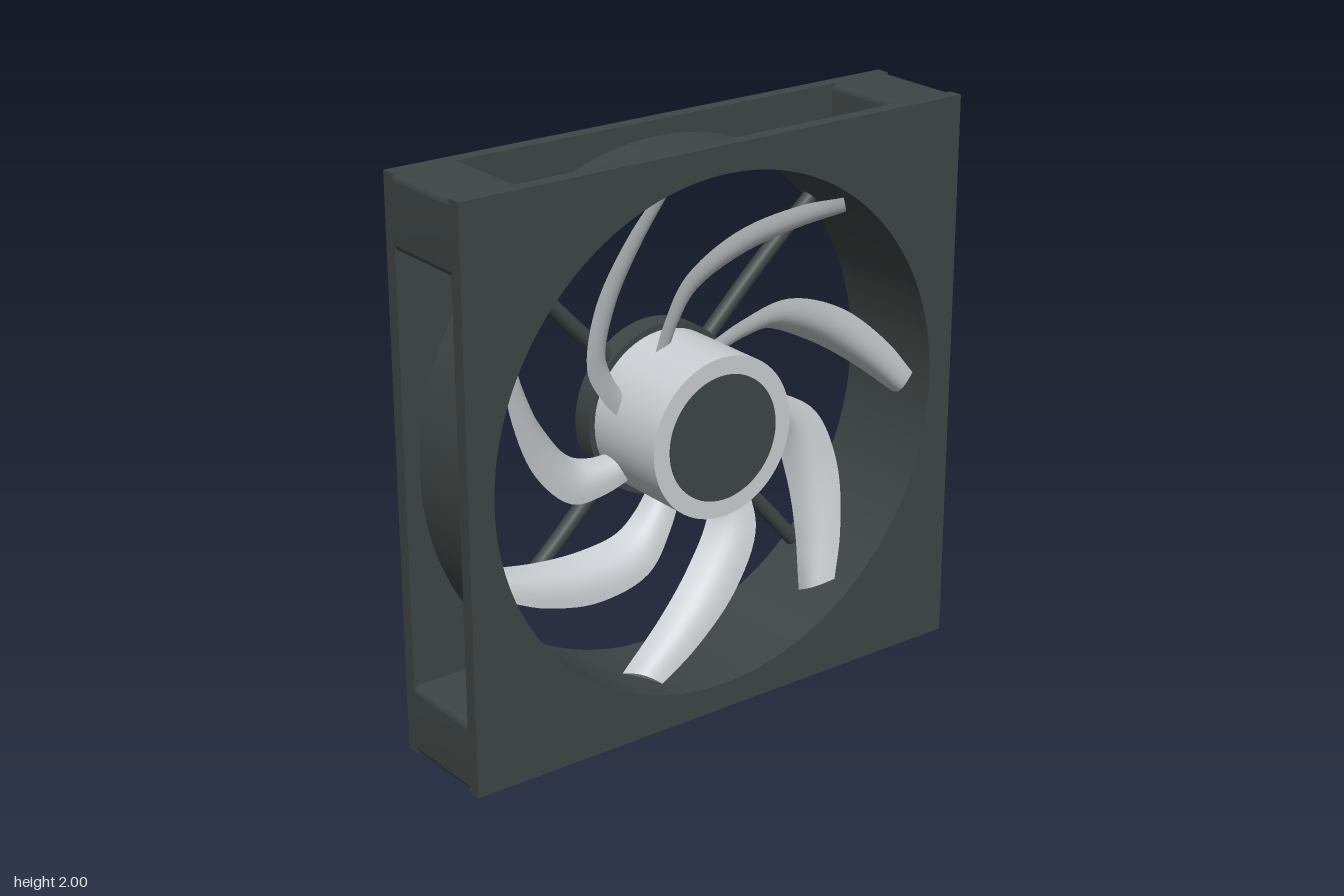
import * as THREE from 'three';
import { toCreasedNormals } from 'three/addons/utils/BufferGeometryUtils.js';

const charcoal = new THREE.MeshStandardMaterial({ color: 0x3f4645 });
charcoal.name = 'charcoal plastic';
const paleGrey = new THREE.MeshStandardMaterial({ color: 0xcdd0d4 });
paleGrey.name = 'pale grey plastic';

const HALF = 0.21, PLATE = 0.05, BORE = 0.905, INNER = HALF - PLATE;

function part(parent, name, geometry, material) {
  const mesh = new THREE.Mesh(geometry, material);
  mesh.name = name;
  parent.add(mesh);
  return mesh;
}

// Extrude a flat shape along z, starting at z0
function slab(shape, z0, depth, curveSegments = 96) {
  const g = new THREE.ExtrudeGeometry(shape, { depth, bevelEnabled: false, curveSegments });
  g.translate(0, 0, z0);
  return toCreasedNormals(g, 0.6);
}

// Disc-like cylinder with its axis along z
function drum(radius, z0, z1) {
  const g = new THREE.CylinderGeometry(radius, radius, z1 - z0, 72);
  g.rotateX(Math.PI / 2);
  g.translate(0, 0, (z0 + z1) / 2);
  return g;
}

function boreHole() {
  return new THREE.Path().absarc(0, 0, BORE, 0, Math.PI * 2, true);
}

function squarePlate() {
  const s = new THREE.Shape([[-1, -1], [1, -1], [1, 1], [-1, 1]].map(p => new THREE.Vector2(...p)));
  s.holes.push(boreHole());
  return s;
}

// Square corner post with rounded edges
function cornerPost(a, b, r) {
  const s = new THREE.Shape();
  s.absarc(b - r, a + r, r, -Math.PI / 2, 0);
  s.absarc(b - r, b - r, r, 0, Math.PI / 2);
  s.absarc(a + r, b - r, r, Math.PI / 2, Math.PI);
  s.absarc(a + r, a + r, r, Math.PI, Math.PI * 1.5);
  s.closePath();
  return s;
}

// Blade edges as [radius, angle in degrees, z], from root to tip
const outerEdge = [[0.25, 66, -0.03], [0.38, 53.5, 0.01], [0.527, 43, 0.05], [0.666, 26, 0.08], [0.8, 9.8, 0.11], [0.898, 0, 0.13]];
const innerEdge = [[0.25, 47, -0.1], [0.36, 38, -0.08], [0.446, 30.3, -0.06], [0.567, 15.9, -0.03], [0.71, 4, 0], [0.898, -6.3, 0.03]];

function edgeCurve(points) {
  return new THREE.CatmullRomCurve3(points.map(([r, deg, z]) => {
    const a = THREE.MathUtils.degToRad(deg);
    return new THREE.Vector3(r * Math.cos(a), r * Math.sin(a), z);
  }));
}

// Loft cambered sections between the two edges
function bladeGeometry() {
  const outer = edgeCurve(outerEdge), inner = edgeCurve(innerEdge);
  const rows = 32, across = 10, loop = across * 2;
  const positions = [], index = [];
  for (let i = 0; i <= rows; i++) {
    const t = i / rows;
    const a = outer.getPoint(t), b = inner.getPoint(t);
    const chord = b.clone().sub(a);
    const along = outer.getTangent(t).add(inner.getTangent(t));
    const normal = chord.clone().cross(along).normalize();
    for (let j = 0; j < loop; j++) {
      const front = j <= across;
      const u = front ? j / across : 2 - j / across;
      const bulge = Math.sin(u * Math.PI) * (front ? 0.036 : 0.01);
      const p = a.clone().addScaledVector(chord, u).addScaledVector(normal, bulge);
      // Keep the tip inside the bore
      const k = Math.min(1, 0.898 / Math.hypot(p.x, p.y));
      positions.push(p.x * k, p.y * k, p.z);
    }
  }
  for (let i = 0; i < rows; i++) {
    for (let j = 0; j < loop; j++) {
      const k = (j + 1) % loop;
      const p = i * loop + j, q = i * loop + k;
      index.push(p, q, p + loop, q, q + loop, p + loop);
    }
  }
  // Tip cap
  const tip = rows * loop;
  for (let j = 0; j < across; j++) {
    const p = tip + j, q = tip + j + 1;
    const r = tip + (loop - j) % loop, s = tip + loop - j - 1;
    if (j > 0) index.push(p, q, r);
    if (j < across - 1) index.push(q, s, r);
  }
  const g = new THREE.BufferGeometry();
  g.setAttribute('position', new THREE.Float32BufferAttribute(positions, 3));
  g.setIndex(index);
  return toCreasedNormals(g, 0.9);
}

export function createModel() {
  const model = new THREE.Group();
  model.name = 'coolingFan';
  model.position.y = 1;

  // Frame: two plates, a duct between them and four corner posts
  const frame = new THREE.Group();
  frame.name = 'frame';
  part(frame, 'frontPlate', slab(squarePlate(), INNER, PLATE), charcoal);
  part(frame, 'backPlate', slab(squarePlate(), -HALF, PLATE), charcoal);
  const duct = new THREE.Shape().absarc(0, 0, 0.945, 0, Math.PI * 2);
  duct.holes.push(boreHole());
  part(frame, 'duct', slab(duct, -INNER, INNER * 2), charcoal);
  const post = slab(cornerPost(0.75, 1, 0.025), -INNER, INNER * 2, 6);
  for (let i = 0; i < 4; i++) {
    part(frame, 'cornerPost', post, charcoal).rotation.z = i * Math.PI / 2;
  }
  model.add(frame);

  // Motor mount and its four struts at the back
  const mount = new THREE.Group();
  mount.name = 'motorMount';
  part(mount, 'motorBase', drum(0.305, -HALF, -0.13), charcoal);
  const strutPath = new THREE.CatmullRomCurve3([
    new THREE.Vector3(0.25, 0, -0.17),
    new THREE.Vector3(0.6, 0.008, -0.17),
    new THREE.Vector3(0.92, 0, -0.17),
  ]);
  const strut = new THREE.TubeGeometry(strutPath, 12, 0.028, 16);
  for (let i = 0; i < 4; i++) {
    part(mount, 'strut', strut, charcoal).rotation.z = THREE.MathUtils.degToRad(42.5 + i * 90);
  }
  model.add(mount);

  // Rotor: hub, cap and seven swept blades
  const rotor = new THREE.Group();
  rotor.name = 'rotor';
  part(rotor, 'hub', drum(0.283, -0.13, 0.2), paleGrey);
  part(rotor, 'hubCap', drum(0.22, 0.198, 0.204), charcoal);
  const blade = bladeGeometry();
  for (let i = 0; i < 7; i++) {
    part(rotor, 'blade', blade, paleGrey).rotation.z = i * Math.PI * 2 / 7;
  }
  model.add(rotor);
  return model;
}
